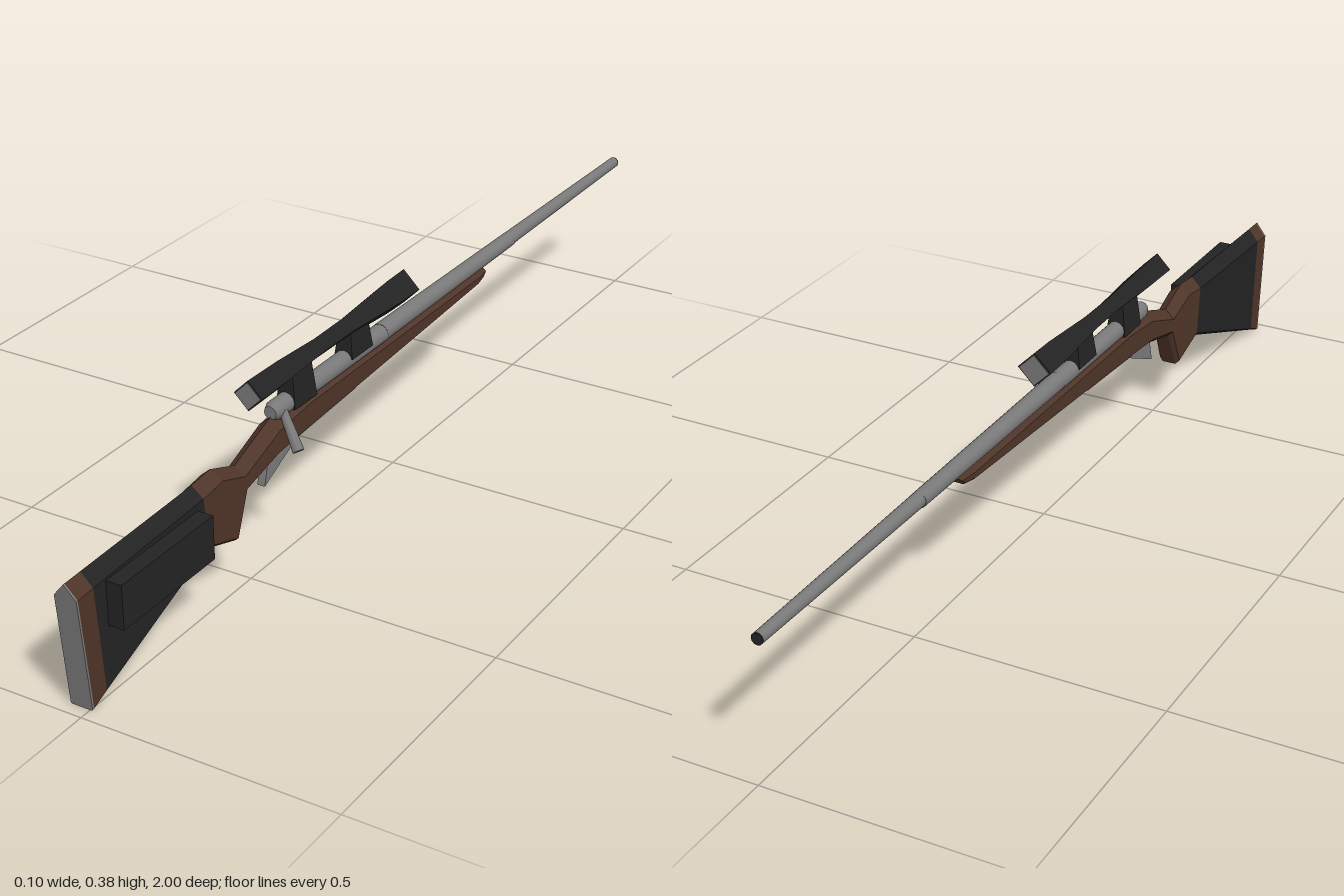
import * as THREE from 'three';

const material = (name, color, extra = {}) => {
  const m = new THREE.MeshStandardMaterial({ color, ...extra });
  m.name = name;
  return m;
};

// Joins rings (counter-clockwise seen from +z, ordered from +z to -z) into a closed faceted solid
function loft(rings) {
  const pos = [];
  const tri = (a, b, c) => pos.push(...a, ...b, ...c);
  const n = rings[0].length;
  for (let i = 0; i < rings.length - 1; i++) {
    for (let j = 0; j < n; j++) {
      const k = (j + 1) % n;
      const a = rings[i][j], b = rings[i][k], c = rings[i + 1][k], d = rings[i + 1][j];
      tri(a, d, b);
      tri(b, d, c);
    }
  }
  const first = rings[0], last = rings[rings.length - 1];
  for (let j = 1; j < n - 1; j++) {
    tri(first[0], first[j], first[j + 1]);
    tri(last[0], last[j + 1], last[j]);
  }
  const g = new THREE.BufferGeometry();
  g.setAttribute('position', new THREE.Float32BufferAttribute(pos, 3));
  g.computeVertexNormals();
  return g;
}

// Stock cross-section with a ridged top and a bevelled belly; top and bottom may lean in z
function stockRing([zt, yt, zb, yb, w, ridge, bevel]) {
  const at = (x, y) => [x, y, zb + (zt - zb) * (y - yb) / (yt - yb)];
  return [
    at(-w + bevel, yb), at(w - bevel, yb), at(w, yb + bevel), at(w, yt - ridge),
    at(0, yt), at(-w, yt - ridge), at(-w, yb + bevel),
  ];
}

export function createModel() {
  const model = new THREE.Group();
  model.name = 'rifle';
  const body = new THREE.Group();
  body.name = 'rifleBody';
  body.position.x = -0.017;
  model.add(body);

  const wood = material('brown wood', 0x4f3529, { flatShading: true });
  const black = material('black', 0x232323, { flatShading: true });
  const steel = material('grey steel', 0x7a7a7a);

  const add = (name, geometry, mat, x = 0, y = 0, z = 0) => {
    const mesh = new THREE.Mesh(geometry, mat);
    mesh.name = name;
    mesh.position.set(x, y, z);
    body.add(mesh);
    return mesh;
  };
  // Cylinder along z; the first radius is at the +z end
  const rod = (name, rBack, rFront, zBack, zFront, y, mat, sides = 12) =>
    add(name, new THREE.CylinderGeometry(rBack, rFront, zBack - zFront, sides).rotateX(Math.PI / 2),
      mat, 0, y, (zBack + zFront) / 2);

  // Stock: butt pad, butt end, sleeve, then grip and fore-end
  const pad = [1.0, 0.25, 0.975, 0, 0.0225, 0.027, 0.002];
  const padInner = [0.996, 0.25, 0.971, 0.001, 0.0225, 0.027, 0.002];
  const sleeveBack = [0.955, 0.251, 0.935, 0.015, 0.0225, 0.026, 0.003];
  const sleeveFront = [0.645, 0.258, 0.63, 0.13, 0.0225, 0.022, 0.006];
  const section = (name, rows, mat) => add(name, loft(rows.map(stockRing)), mat);
  section('buttPad', [pad, padInner], steel);
  section('buttEnd', [padInner, sleeveBack], wood);
  section('buttSleeve', [sleeveBack, sleeveFront], black);
  section('stock', [
    sleeveFront,
    [0.59, 0.263, 0.54, 0.10, 0.0225, 0.02, 0.008],
    [0.515, 0.235, 0.507, 0.18, 0.021, 0.018, 0.01],
    [0.40, 0.278, 0.41, 0.205, 0.0225, 0.02, 0.01],
    [0.30, 0.278, 0.30, 0.213, 0.0225, 0.01, 0.01],
    [-0.34, 0.276, -0.33, 0.248, 0.0215, 0.008, 0.008],
    [-0.38, 0.274, -0.36, 0.252, 0.016, 0.007, 0.006],
  ], wood);

  // Side pouch on the butt
  add('sidePouch', new THREE.BoxGeometry(0.032, 0.086, 0.26), black, 0.038, 0.179, 0.79);

  // Receiver, bolt and barrel
  rod('receiver', 0.019, 0.019, 0.385, 0.02, 0.286, steel);
  rod('boltEnd', 0.013, 0.019, 0.4, 0.385, 0.286, steel);
  rod('barrelBase', 0.019, 0.016, 0.02, -0.5, 0.287, steel);
  rod('barrel', 0.015, 0.0115, -0.5, -0.997, 0.288, steel);
  rod('muzzle', 0.0115, 0.0115, -0.997, -1.0, 0.288, black);

  // Bolt handle with knob
  const from = new THREE.Vector3(0.01, 0.287, 0.375);
  const to = new THREE.Vector3(0.057, 0.223, 0.397);
  const dir = to.clone().sub(from);
  const handle = add('boltHandle', new THREE.CylinderGeometry(0.011, 0.008, dir.length(), 8), steel);
  handle.position.copy(from).lerp(to, 0.5);
  handle.quaternion.setFromUnitVectors(new THREE.Vector3(0, 1, 0), dir.normalize());

  // Trigger guard as a wedge, and the floor plate ahead of it
  const guard = new THREE.Shape();
  guard.moveTo(-0.435, 0.155);
  guard.lineTo(-0.31, 0.212);
  guard.lineTo(-0.42, 0.212);
  guard.closePath();
  add('triggerGuard', new THREE.ExtrudeGeometry(guard, { depth: 0.016, bevelEnabled: false })
    .rotateY(Math.PI / 2), steel, -0.008, 0, 0);
  const plate = add('floorPlate', new THREE.BoxGeometry(0.024, 0.006, 0.2), steel, 0, 0.217, 0.23);
  plate.rotation.x = 0.055;

  // Four-sided scope tube with a lens at each end
  const scopeY = 0.35;
  const profile = [[0, -0.07], [0.035, -0.07], [0.034, -0.01], [0.022, 0.15], [0.021, 0.25],
    [0.028, 0.37], [0.03, 0.467], [0, 0.467]].map(([r, z]) => new THREE.Vector2(r, z));
  add('scopeTube', new THREE.LatheGeometry(profile, 4).rotateX(Math.PI / 2), black, 0, scopeY, 0);
  rod('frontLens', 0.031, 0.031, -0.069, -0.072, scopeY, steel, 4);
  rod('rearLens', 0.027, 0.027, 0.469, 0.466, scopeY, steel, 4);

  // Scope mounts, tapering towards the tube
  for (const [z, bottom, w] of [[0.313, 0.275, 0.021], [0.115, 0.29, 0.02]]) {
    const h = 0.342 - bottom;
    const mount = new THREE.CylinderGeometry(0.013 * Math.SQRT2, w * Math.SQRT2, h, 4).rotateY(Math.PI / 4);
    const p = mount.attributes.position;
    for (let i = 0; i < p.count; i++) p.setZ(i, Math.sign(p.getZ(i)) * (p.getY(i) > 0 ? 0.032 : 0.037));
    add('scopeMount', mount, black, 0, bottom + h / 2, z);
  }
  return model;
}
